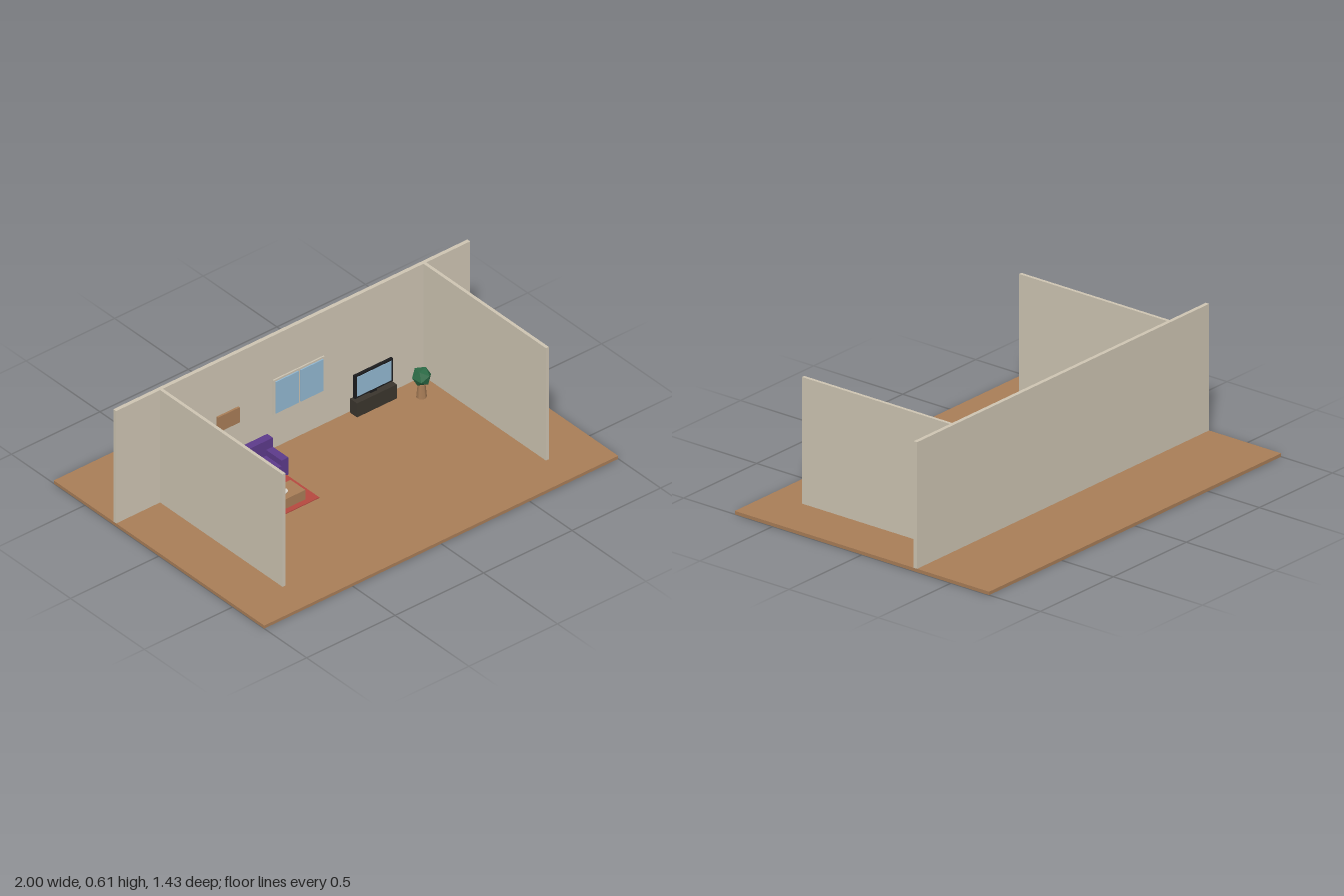
import * as THREE from 'three';

const mat = (name, color, extra = {}) => Object.assign(new THREE.MeshStandardMaterial({ color, ...extra }), { name });

export function createModel() {
  const wood = mat('wood', 0xa87d57);
  const plaster = mat('plaster', 0xcdc4b2);
  const purple = mat('purple fabric', 0x5c3a8a);
  const red = mat('red rug', 0xb5483f);
  const glass = mat('blue glass', 0x92b7d0);
  const dark = mat('dark wood', 0x3a352d);
  const black = mat('black plastic', 0x1c1c1e);
  const green = mat('leaf green', 0x2b6a45, { flatShading: true });
  const pale = mat('pale ceramic', 0xd8d4cb, { flatShading: true });

  const model = new THREE.Group();
  model.name = 'livingRoom';
  const group = (name) => {
    const g = new THREE.Group();
    g.name = name;
    model.add(g);
    return g;
  };
  const add = (parent, name, geometry, material, x = 0, y = 0, z = 0) => {
    const m = new THREE.Mesh(geometry, material);
    m.name = name;
    m.position.set(x, y, z);
    parent.add(m);
    return m;
  };
  // box given by its extents on each axis
  const box = (parent, name, material, [x0, x1], [y0, y1], [z0, z1]) =>
    add(parent, name, new THREE.BoxGeometry(x1 - x0, y1 - y0, z1 - z0), material,
      (x0 + x1) / 2, (y0 + y1) / 2, (z0 + z1) / 2);

  const F = 0.016; // floor level
  const W = -0.29; // front face of the back wall

  // floor and walls
  box(model, 'floor', wood, [-1, 1], [0, F], [-0.713, 0.713]);
  box(model, 'backWall', plaster, [-1, 1], [F, 0.612], [-0.309, W]);
  for (const s of [-1, 1]) {
    const x = s * 0.744;
    box(model, s > 0 ? 'leftWall' : 'rightWall', plaster, [x - 0.008, x + 0.008], [F, 0.612], [W, 0.54]);
  }

  // rug
  box(model, 'rug', red, [-0.515, -0.2], [F, 0.02], [-0.1, 0.127]);

  // sofa: back, seat and two arms
  const sofa = group('sofa');
  box(sofa, 'sofaBack', purple, [-0.556, -0.19], [F, 0.155], [-0.238, -0.2]);
  box(sofa, 'sofaSeat', purple, [-0.518, -0.228], [F, 0.077], [-0.2, -0.095]);
  box(sofa, 'sofaArmRight', purple, [-0.556, -0.518], [F, 0.107], [-0.2, -0.095]);
  box(sofa, 'sofaArmLeft', purple, [-0.228, -0.19], [F, 0.107], [-0.2, -0.095]);

  // coffee table with a small dish
  const table = group('coffeeTable');
  box(table, 'tableBlock', wood, [-0.433, -0.257], [0.02, 0.07], [0, 0.1]);
  add(table, 'dish', new THREE.CylinderGeometry(0.024, 0.018, 0.01, 8), pale, -0.345, 0.075, 0.053);

  // picture on the wall
  box(model, 'picture', wood, [-0.433, -0.31], [0.247, 0.327], [W, -0.28]);

  // window: tapered frame and two panes
  const win = group('window');
  box(win, 'windowFrame', plaster, [-0.117, 0.171], [0.195, 0.38], [W, -0.283]);
  for (const [x0, x1] of [[-0.107, 0.021], [0.033, 0.161]]) {
    box(win, 'windowPane', glass, [x0, x1], [0.204, 0.371], [-0.283, -0.277]);
  }

  // television on its cabinet
  const tv = group('television');
  box(tv, 'cabinet', dark, [0.315, 0.54], [F, 0.09], [-0.283, -0.235]);
  box(tv, 'tvNeck', black, [0.41, 0.445], [0.09, 0.102], [-0.265, -0.257]);
  box(tv, 'tvBody', black, [0.32, 0.535], [0.1, 0.221], [-0.268, -0.255]);
  box(tv, 'tvScreen', glass, [0.33, 0.525], [0.109, 0.212], [-0.255, -0.253]);

  // potted plant
  const plant = group('plant');
  add(plant, 'pot', new THREE.CylinderGeometry(0.017, 0.024, 0.07, 6),
    wood, 0.63, F + 0.035, -0.176);
  const leaves = add(plant, 'foliage', new THREE.IcosahedronGeometry(0.046, 0), green, 0.63, 0.125, -0.176);
  leaves.rotation.set(0.2, 0.3, 0);

  return model;
}
